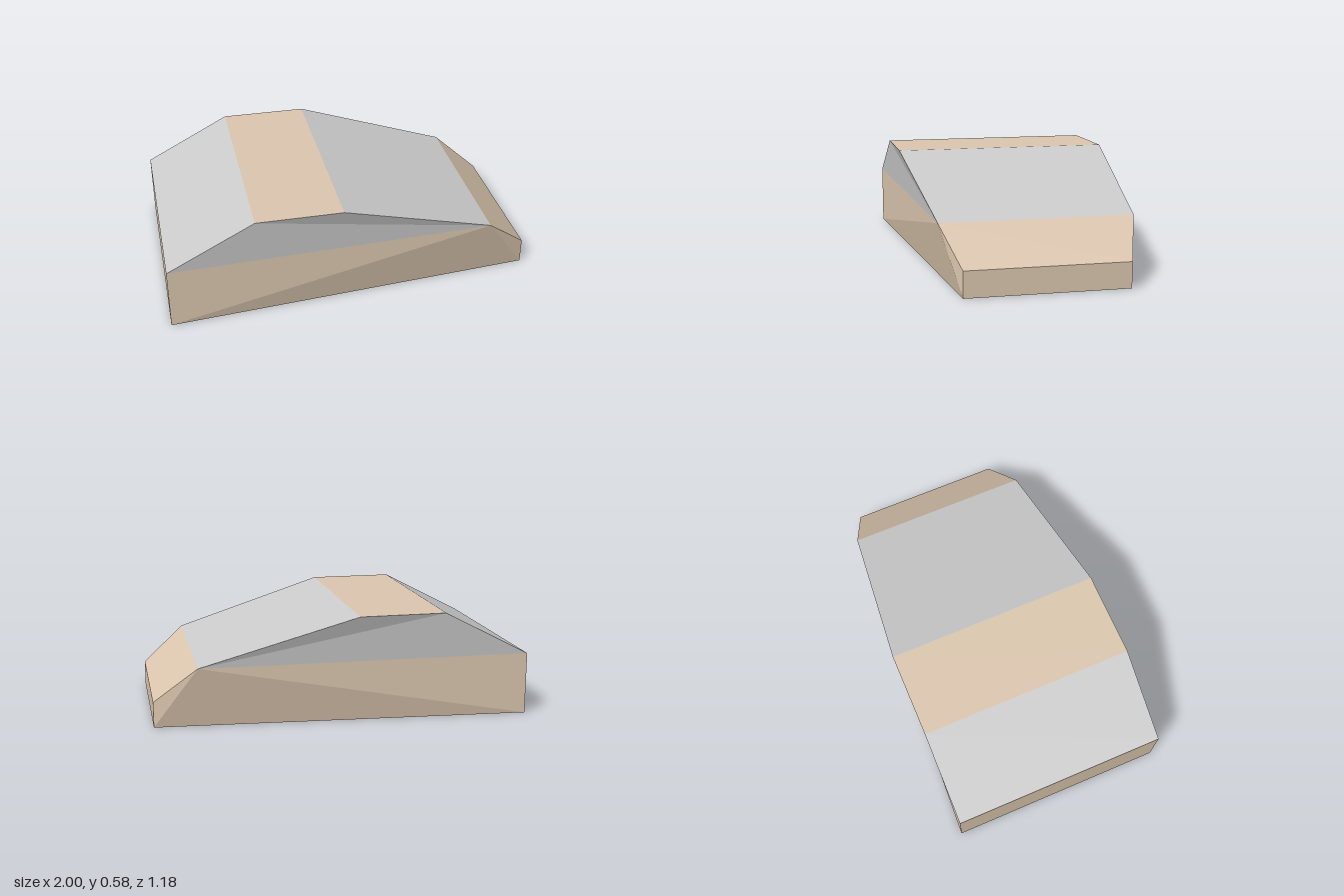
import * as THREE from 'three';

// Profile corners on the left-hand rim: [x, y, half width]
const P = {
  tailBottom: [-1, 0, 0.59],
  tailTop: [-1, 0.335, 0.59],
  roofRear: [-0.535, 0.578, 0.59],
  roofFront: [-0.07, 0.578, 0.59],
  hood: [0.77, 0.327, 0.51],
  noseTop: [1, 0.137, 0.427],
  noseBottom: [1, 0, 0.427],
};

const near = (n) => P[n];
const far = (n) => [P[n][0], P[n][1], -P[n][2]];

// Strip across the full width between two profile corners
const across = (a, b) => [near(a), near(b), far(b), near(a), far(b), far(a)];

// Side triangle together with its mirror image
const sides = (a, b, c) => [near(a), near(b), near(c), far(a), far(c), far(b)];

function panel(name, color, corners) {
  const geometry = new THREE.BufferGeometry();
  geometry.setAttribute('position', new THREE.Float32BufferAttribute(corners.flat(), 3));
  geometry.computeVertexNormals();
  const material = new THREE.MeshStandardMaterial({ color, flatShading: true });
  const mesh = new THREE.Mesh(geometry, material);
  mesh.name = name;
  return mesh;
}

export function createModel() {
  const group = new THREE.Group();
  group.name = 'wedgeCar';
  const paint = 0xdcc7af;
  const glass = 0xcccccc;

  // Painted shell
  group.add(
    panel('bodySides', paint, [
      ...sides('tailBottom', 'noseBottom', 'hood'),
      ...sides('noseBottom', 'noseTop', 'hood'),
      ...sides('tailBottom', 'hood', 'tailTop'),
    ]),
    panel('tail', paint, across('tailBottom', 'tailTop')),
    panel('roof', paint, across('roofRear', 'roofFront')),
    panel('hood', paint, across('hood', 'noseTop')),
    panel('nose', paint, across('noseTop', 'noseBottom')),
    panel('underside', paint, across('noseBottom', 'tailBottom')),
  );

  // Windows
  group.add(
    panel('rearWindow', glass, across('tailTop', 'roofRear')),
    panel('windshield', glass, across('roofFront', 'hood')),
    panel('sideWindows', glass, [
      ...sides('tailTop', 'hood', 'roofRear'),
      ...sides('roofRear', 'hood', 'roofFront'),
    ]),
  );

  return group;
}
